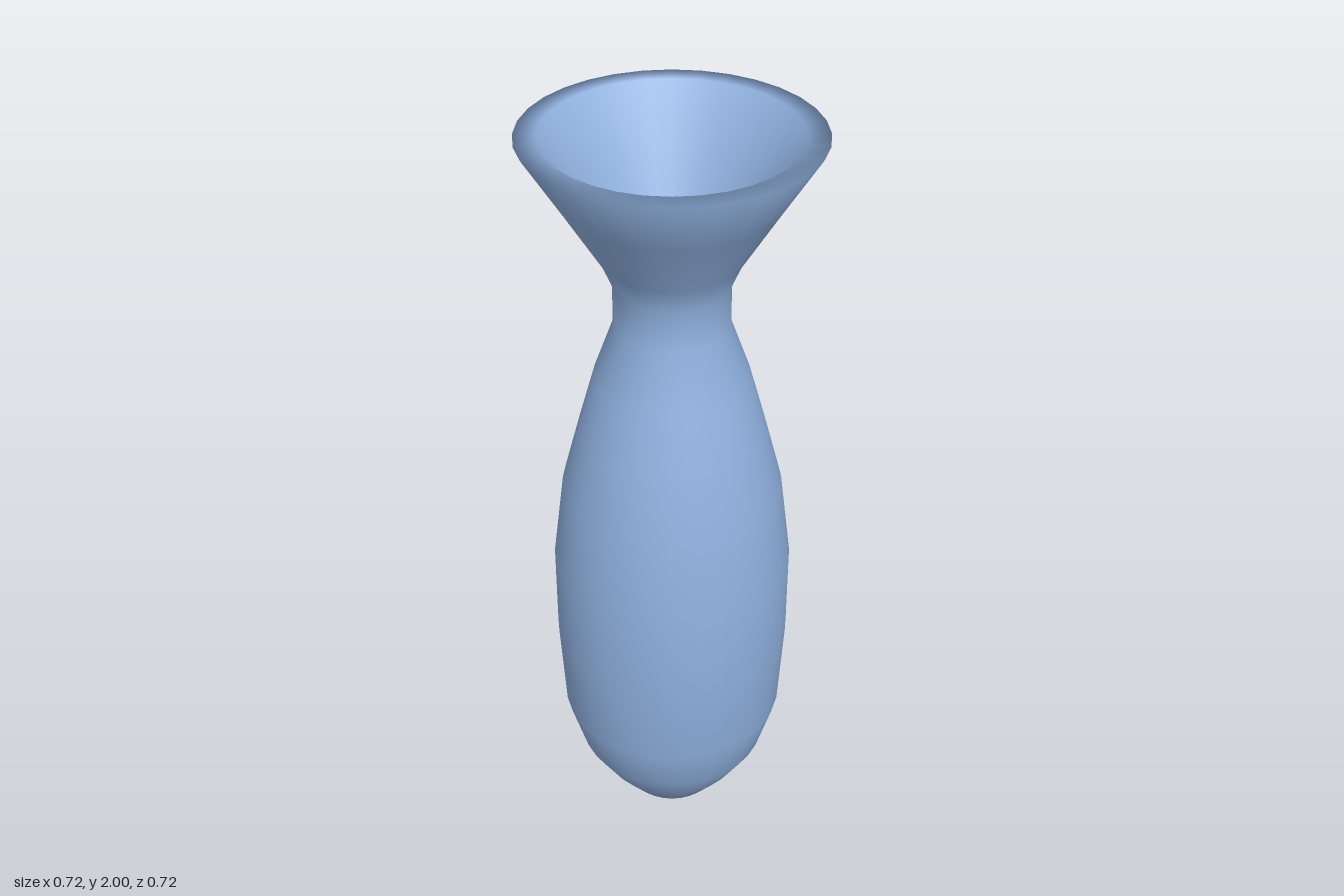
import * as THREE from 'three';

const SEGMENTS = 32;
const WALL = 0.045;

// Outer silhouette as [radius, height], from foot to rim
const OUTER = [
  [0.127, 0], [0.196, 0.09], [0.254, 0.185], [0.296, 0.33], [0.31, 0.58],
  [0.31, 0.81], [0.28, 1.05], [0.238, 1.21], [0.195, 1.365], [0.143, 1.51],
  [0.143, 1.62], [0.172, 1.69], [0.265, 1.845], [0.36, 2],
];

export function createModel() {
  const group = new THREE.Group();
  group.name = 'vase';
  const material = new THREE.MeshStandardMaterial({ color: 0x8fb0de });

  // Inner wall: the silhouette moved inwards, running from rim to floor
  const inner = OUTER.slice(1, -1).reverse().map(([r, y]) => [r - WALL, y]);

  // One closed profile: base, outer wall, flat lip, inner wall, floor
  const profile = [
    [0, 0],
    ...OUTER,
    [0.307, 2],
    ...inner,
    [0, 0.05],
  ].map(([r, y]) => new THREE.Vector2(r, y));

  const body = new THREE.Mesh(new THREE.LatheGeometry(profile, SEGMENTS), material);
  body.name = 'vaseBody';
  group.add(body);
  return group;
}
